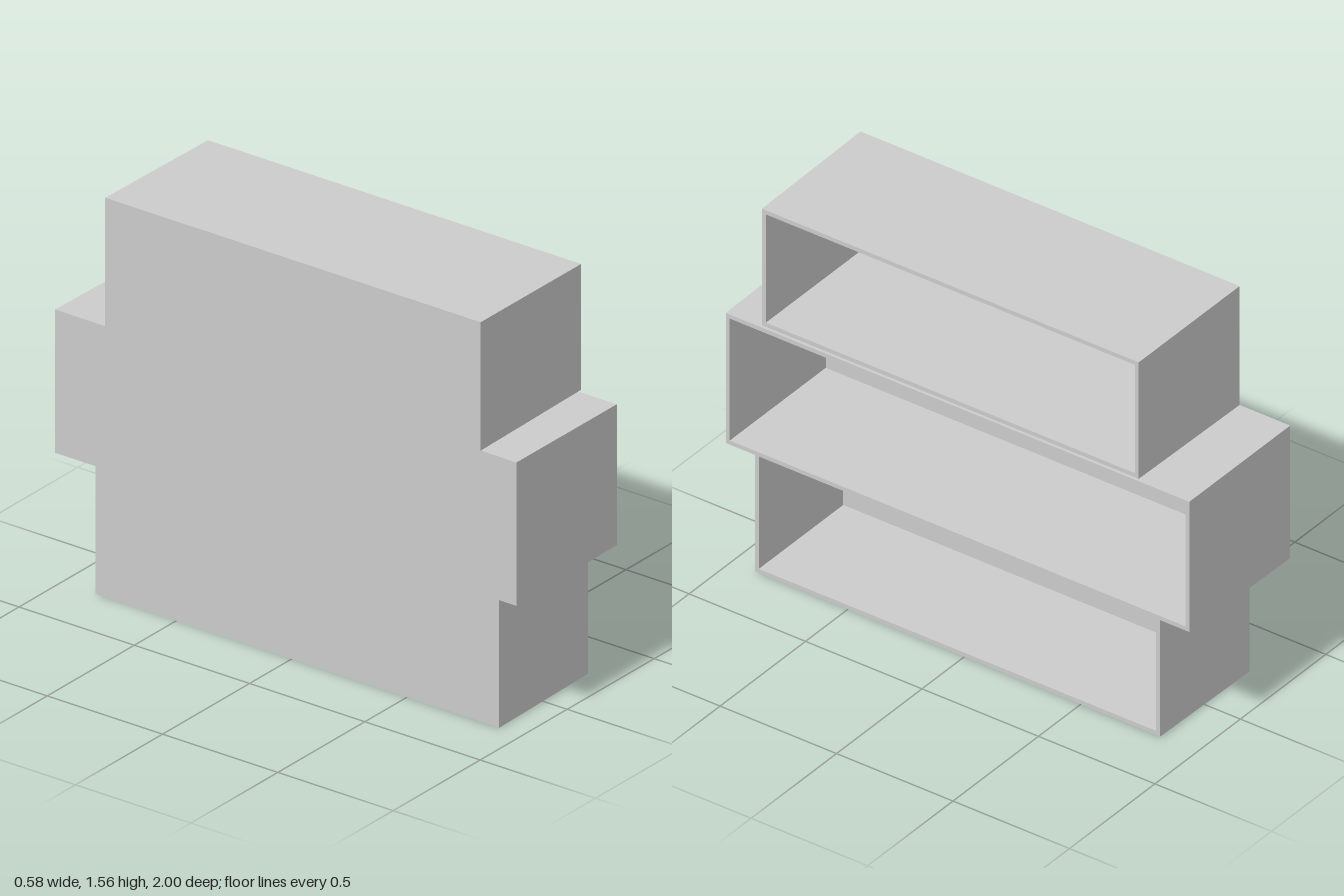
import * as THREE from 'three';

const material = new THREE.MeshStandardMaterial({ color: 0xcccccc, flatShading: true });
const WALL = 0.022; // panel thickness
const TAPER = 0.005; // slight narrowing towards the open side

// Rectangular ring of four corners at a given x, inset from the cubby outline
function ring(x, { y0, y1, z0, z1 }, inset) {
  const b = y0 + inset, t = y1 - inset, k = z0 + inset, f = z1 - inset;
  return [[x, b, f], [x, b, k], [x, t, k], [x, t, f]];
}

// Open-sided box: outer walls, front rim, inner walls and back panel
function cubby(name, size) {
  const h = size.depth / 2;
  const rings = [
    ring(-h, size, 0),
    ring(h, size, TAPER),
    ring(h, size, WALL),
    ring(-h + WALL, size, WALL),
  ];
  const points = [];
  const quad = (a, b, c, d) => points.push(...a, ...b, ...c, ...a, ...c, ...d);
  for (let r = 0; r < 3; r++) {
    for (let i = 0; i < 4; i++) {
      const j = (i + 1) % 4;
      quad(rings[r][i], rings[r][j], rings[r + 1][j], rings[r + 1][i]);
    }
  }
  quad(...rings[3]); // inside of the back panel
  quad(...[...rings[0]].reverse()); // outside of the back panel

  const geometry = new THREE.BufferGeometry();
  geometry.setAttribute('position', new THREE.Float32BufferAttribute(points, 3));
  geometry.computeVertexNormals();
  const mesh = new THREE.Mesh(geometry, material);
  mesh.name = name;
  return mesh;
}

export function createModel() {
  const group = new THREE.Group();
  group.name = 'stackedShelf';
  group.add(
    cubby('lowerCubby', { y0: 0, y1: 0.513, z0: -0.85, z1: 0.9, depth: 0.516 }),
    cubby('middleCubby', { y0: 0.513, y1: 1.065, z0: -1, z1: 1, depth: 0.584 }),
    cubby('upperCubby', { y0: 1.065, y1: 1.56, z0: -0.783, z1: 0.845, depth: 0.584 }),
  );
  return group;
}
